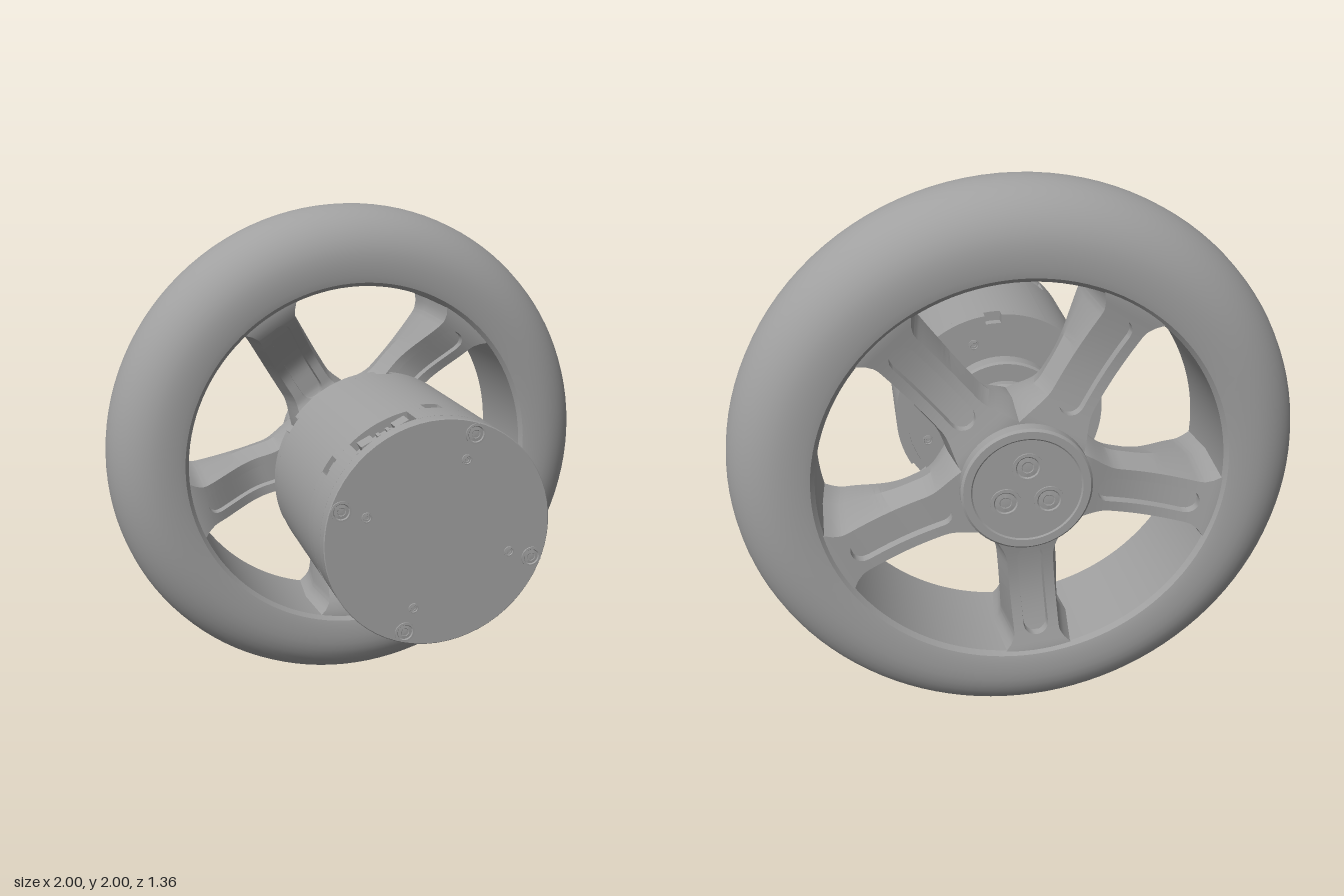
import * as THREE from 'three';
import { toCreasedNormals } from 'three/addons/utils/BufferGeometryUtils.js';

const rad = THREE.MathUtils.degToRad;
const smooth = THREE.MathUtils.smoothstep;

export function createModel() {
  const grey = new THREE.MeshStandardMaterial({ color: 0xa0a0a0 });
  grey.name = 'satin grey';

  const model = new THREE.Group();
  model.name = 'motorWheel';
  const axle = new THREE.Group(); // everything turns about this z axis
  axle.name = 'axleAssembly';
  axle.position.y = 1;
  model.add(axle);

  function add(name, geometry, parent = axle, crease = 0.5) {
    const mesh = new THREE.Mesh(toCreasedNormals(geometry, crease), grey);
    mesh.name = name;
    parent.add(mesh);
    return mesh;
  }

  // Turned part from [radius, z] points; the outer side runs towards +z
  function turned(points, segments = 64) {
    return new THREE.LatheGeometry(points.map(p => new THREE.Vector2(p[0], p[1])), segments).rotateX(Math.PI / 2);
  }

  function group(name) {
    const g = new THREE.Group();
    g.name = name;
    axle.add(g);
    return g;
  }

  // Tyre: flat sides, full round tread, straight inner bore
  const tyre = [[0.7, -0.60], [0.715, -0.615], [0.74, -0.62]];
  for (let i = 0; i <= 20; i++) {
    const a = -Math.PI / 2 + Math.PI * i / 20;
    tyre.push([0.79 + 0.21 * Math.cos(a), -0.41 + 0.21 * Math.sin(a)]);
  }
  tyre.push([0.74, -0.20], [0.715, -0.205], [0.7, -0.22], [0.7, -0.60]);
  add('tyre', turned(tyre, 112));

  // Spoke: cross-sections swept outwards, with a slot sunk in both faces
  function spokeGeometry() {
    const start = 0.27, end = 0.645, half = 0.045;
    const stations = [];
    for (let i = 0; i <= 26; i++) stations.push(0.12 + 0.62 * i / 26);
    for (const s of [0, 0.002, 0.006, 0.014, 0.028, 0.045]) stations.push(start + s, end - s);
    stations.sort((a, b) => a - b);
    const pos = [], index = [], n = 14;
    stations.forEach((r, i) => {
      const h = 0.082 + 0.05 * (1 - smooth(r, 0.15, 0.33)) + 0.07 * smooth(r, 0.6, 0.74) ** 2;
      const front = -0.38 + 0.16 * smooth(r, 0.38, 0.7) + 0.1 * (1 - smooth(r, 0.12, 0.3));
      const back = -0.605 + 0.035 * Math.sin(Math.PI * Math.min(1, Math.max(0, (r - 0.2) / 0.5)));
      const mid = (front + back) / 2;
      const inside = r > start + 0.001 && r < end - 0.001;
      const gap = Math.max(0, half - Math.min(r - start, end - r));
      const g = inside ? Math.max(0.005, Math.sqrt(Math.max(0, half * half - gap * gap))) : 0.005;
      const k = g * 0.93, d = inside ? 0.03 : 0, e = h + 0.025;
      const section = [
        [-h, back], [-g, back], [-k, back + d], [k, back + d], [g, back], [h, back], [e, mid],
        [h, front], [g, front], [k, front - d], [-k, front - d], [-g, front], [-h, front], [-e, mid],
      ];
      for (const [y, z] of section) pos.push(r, y, z);
      if (i === 0) return;
      for (let j = 0; j < n; j++) {
        const a = (i - 1) * n + j, b = (i - 1) * n + (j + 1) % n;
        index.push(a, b, b + n, a, b + n, a + n);
      }
    });
    const geometry = new THREE.BufferGeometry();
    geometry.setAttribute('position', new THREE.Float32BufferAttribute(pos, 3));
    geometry.setIndex(index);
    return geometry;
  }
  const spokes = group('spokes');
  for (let i = 0; i < 5; i++) {
    add('spoke', spokeGeometry(), spokes, 0.45).rotation.z = rad(49 + 72 * i);
  }

  // Hub, neck and mounting flange
  add('hub', turned([[0, -0.62], [0.21, -0.62], [0.215, -0.5], [0.2, -0.4], [0.17, -0.31], [0.15, -0.24],
    [0.15, -0.15], [0.16, -0.135], [0.18, -0.125], [0, -0.125]]));
  add('flange', turned([[0, -0.13], [0.237, -0.13], [0.245, -0.122], [0.245, -0.068], [0.237, -0.06],
    [0.215, -0.06], [0.215, -0.035], [0, -0.035]]));

  // Screw head: raised rim around a sunken socket, facing +z
  function screw(parent, r, x, y, z, flip = false) {
    const s = add('screw', turned([[r, -0.005], [r, 0.004], [r * 0.78, 0.004], [r * 0.7, -0.0],
      [r * 0.4, 0.002], [r * 0.35, 0.0005], [0, 0.0005]], 20), parent);
    s.position.set(x, y, z);
    if (flip) s.rotation.y = Math.PI;
  }

  // Back cap with three screws
  const cap = group('hubCap');
  add('capDisc', turned([[0, -0.672], [0.185, -0.672], [0.19, -0.676], [0.216, -0.676], [0.224, -0.668],
    [0.224, -0.628], [0.218, -0.62], [0, -0.615]]), cap);
  for (let i = 0; i < 3; i++) {
    const a = rad(90 + 120 * i);
    screw(cap, 0.052, 0.085 * Math.cos(a), 0.085 * Math.sin(a), -0.673, true);
  }

  // Motor housing: a core inside stacked rings, some broken by openings
  const motor = group('motor');
  add('motorCore', turned([[0, -0.035], [0.365, -0.035], [0.365, 0.67], [0, 0.67]]), motor);

  function ringBand(name, z0, z1, centres, halfGap) {
    const count = centres.length;
    for (let i = 0; i < count; i++) {
      const a0 = rad(centres[i] + halfGap);
      const a1 = rad((i + 1 < count ? centres[i + 1] : centres[0] + 360) - halfGap);
      const shape = new THREE.Shape();
      shape.absarc(0, 0, 0.4, a0, a1, false);
      shape.absarc(0, 0, 0.36, a1, a0, true);
      const curveSegments = Math.max(6, Math.round((a1 - a0) * 10));
      const geometry = new THREE.ExtrudeGeometry(shape, { depth: z1 - z0, bevelEnabled: false, curveSegments });
      add(name, geometry.translate(0, 0, z0), motor);
    }
  }
  const notches = [26, 86, 146, 206, 266, 326];
  const ports = [116, 296];
  ringBand('rearRing', -0.04, 0.0, notches, 4.5);
  ringBand('housingSleeve', 0.0, 0.48, ports, 0);
  ringBand('notchedRing', 0.48, 0.53, notches, 4.5);
  ringBand('portRing', 0.53, 0.63, ports, 16);
  add('endPlate', turned([[0.36, 0.63], [0.4, 0.63], [0.4, 0.672], [0.397, 0.675], [0, 0.675]]), motor);

  // Small tabs in the notches
  for (const a of notches) {
    const tab = new THREE.BoxGeometry(0.02, 0.03, 0.025).translate(0.374, 0, 0.497).rotateZ(rad(a));
    add('notchTab', tab, motor);
  }

  // Sockets and pins inside the two ports
  for (const a of ports) {
    for (const side of [-1, 1]) {
      add('socket', new THREE.BoxGeometry(0.03, 0.05, 0.055).translate(0.372, side * 0.065, 0.58).rotateZ(rad(a)), motor);
      add('pin', new THREE.BoxGeometry(0.024, 0.012, 0.03).translate(0.374, side * 0.018, 0.58).rotateZ(rad(a)), motor);
    }
  }

  // Screws and small holes on the front plate, holes on the rear
  for (let i = 0; i < 4; i++) {
    const a = rad(70.5 + 90 * i), c = Math.cos(a), s = Math.sin(a);
    screw(motor, 0.036, 0.36 * c, 0.36 * s, 0.676);
    screw(motor, 0.018, 0.27 * c, 0.27 * s, 0.676);
    screw(motor, 0.02, 0.3 * c, 0.3 * s, -0.036, true);
  }
  return model;
}
